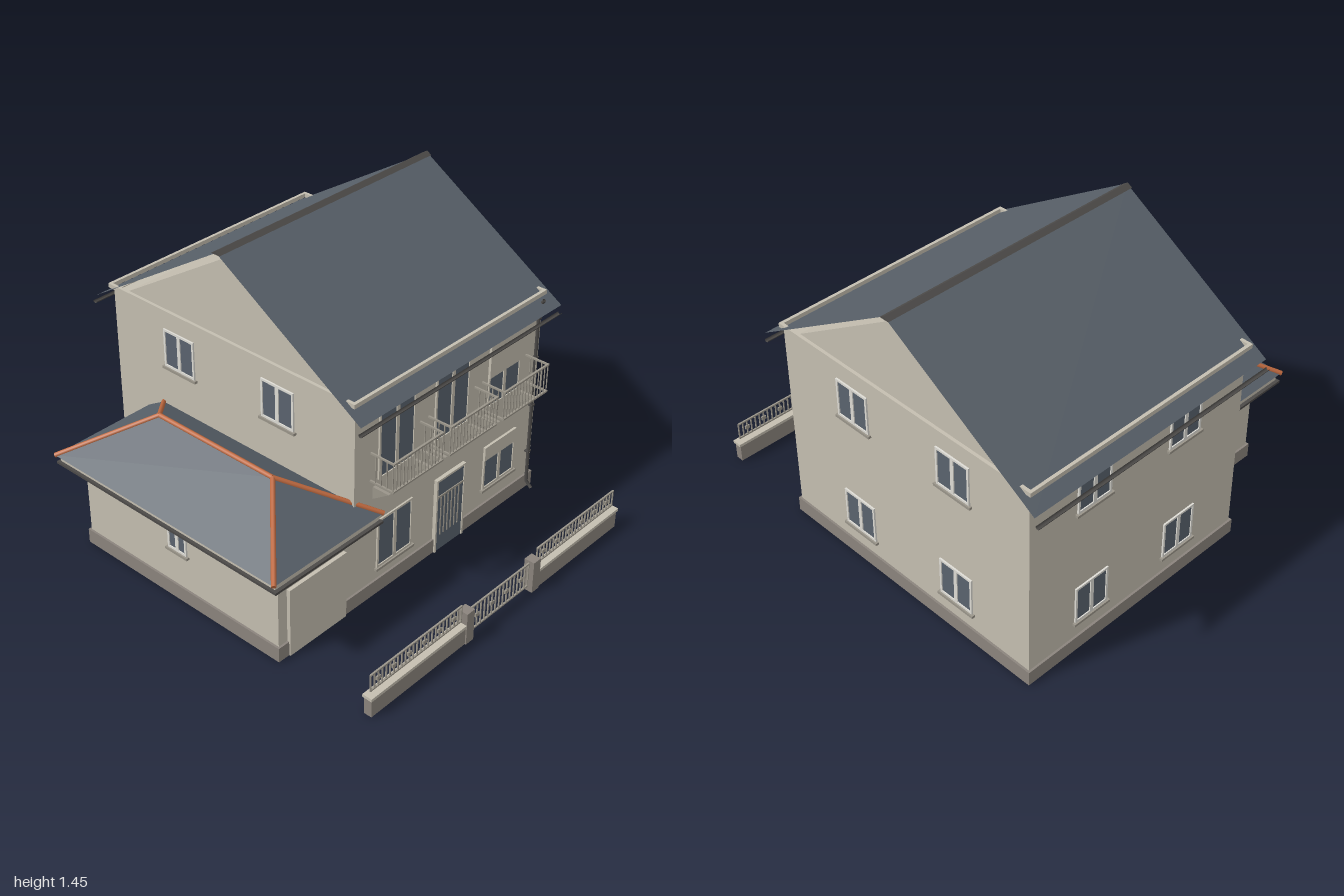
import * as THREE from 'three';

const mat = (name, color, side = THREE.FrontSide) => {
  const m = new THREE.MeshStandardMaterial({ color, side });
  m.name = name;
  return m;
};

export function createModel() {
  const root = new THREE.Group();
  root.name = 'house';
  const wall = mat('beige render', 0xc4beb0);
  const stone = mat('grey brown plinth', 0x8b847d);
  const slate = mat('slate roof', 0x586069, THREE.DoubleSide);
  const glass = mat('window glass', 0x5a636e);
  const white = mat('off white frame', 0xdedcd5);
  const tile = mat('terracotta ridge', 0xc06a40);
  const iron = mat('grey beige railing', 0x9a958a);
  const dark = mat('dark metal', 0x4c4a48, THREE.DoubleSide);

  const add = (parent, name, geo, material) => {
    const m = new THREE.Mesh(geo, material);
    m.name = name;
    parent.add(m);
    return m;
  };
  const group = (name, parent = root) => {
    const g = new THREE.Group();
    g.name = name;
    parent.add(g);
    return g;
  };
  // Box given by its limits
  const box = (p, name, x0, x1, y0, y1, z0, z1, m) => add(p, name,
    new THREE.BoxGeometry(x1 - x0, y1 - y0, z1 - z0)
      .translate((x0 + x1) / 2, (y0 + y1) / 2, (z0 + z1) / 2), m);
  const rect = (C, x0, x1, y0, y1) => {
    const s = new C();
    s.moveTo(x0, y0); s.lineTo(x1, y0); s.lineTo(x1, y1); s.lineTo(x0, y1); s.closePath();
    return s;
  };
  // Rectangular tube standing upright, open at top and bottom
  const ring = (p, name, x0, x1, z0, z1, t, y0, y1, m) => {
    const s = rect(THREE.Shape, x0, x1, -z1, -z0);
    s.holes.push(rect(THREE.Path, x0 + t, x1 - t, -z1 + t, -z0 - t));
    const g = new THREE.ExtrudeGeometry(s, { depth: y1 - y0, bevelEnabled: false });
    return add(p, name, g.rotateX(-Math.PI / 2).translate(0, y0, 0), m);
  };
  // Flat polygons, corners counter-clockwise from outside
  const surface = (p, name, polys, m) => {
    const v = [];
    for (const q of polys) for (let i = 1; i < q.length - 1; i++) v.push(...q[0], ...q[i], ...q[i + 1]);
    const g = new THREE.BufferGeometry();
    g.setAttribute('position', new THREE.Float32BufferAttribute(v, 3));
    g.computeVertexNormals();
    return add(p, name, g, m);
  };
  const rod = (p, name, a, b, r, m) => {
    const A = new THREE.Vector3(...a), B = new THREE.Vector3(...b);
    const o = add(p, name, new THREE.CylinderGeometry(r, r, A.distanceTo(B), 8), m);
    o.position.copy(A).add(B).multiplyScalar(0.5);
    o.quaternion.setFromUnitVectors(new THREE.Vector3(0, 1, 0), B.sub(A).normalize());
  };

  // Main walls, plinth, cornice
  ring(root, 'mainWalls', -0.365, 0.855, -0.905, 0.505, 0.02, 0, 1.0, wall);
  ring(root, 'mainPlinth', -0.375, 0.865, -0.915, 0.515, 0.03, 0, 0.07, stone);
  ring(root, 'cornice', -0.38, 0.87, -0.925, 0.515, 0.015, 1.003, 1.023, wall);

  // Gable block under the roof
  const tri = new THREE.Shape();
  tri.moveTo(-0.505, 0.99); tri.lineTo(-0.4, 1.02); tri.lineTo(0.2, 1.4);
  tri.lineTo(0.81, 1.02); tri.lineTo(0.905, 0.99);
  tri.closePath();
  const gable = new THREE.ExtrudeGeometry(tri, { depth: 1.22, bevelEnabled: false });
  add(root, 'gables', gable.rotateY(Math.PI / 2).translate(-0.365, 0, 0), wall);

  // Main roof, ridge cap and gutters
  const L = -0.41, R = 0.9;
  surface(root, 'mainRoof', [
    [[L, 0.957, 0.575], [R, 0.957, 0.575], [R, 1.44, -0.2], [L, 1.44, -0.2]],
    [[R, 0.957, -0.975], [L, 0.957, -0.975], [L, 1.44, -0.2], [R, 1.44, -0.2]],
  ], slate);
  const cap = new THREE.Shape();
  cap.moveTo(-0.024, 0); cap.lineTo(0.024, 0); cap.lineTo(0, 0.015); cap.closePath();
  add(root, 'ridgeCap', new THREE.ExtrudeGeometry(cap, { depth: 1.315, bevelEnabled: false })
    .rotateY(Math.PI / 2).translate(L, 1.431, -0.205), dark);
  for (const z of [0.572, -0.99]) {
    add(root, 'gutter', new THREE.CylinderGeometry(0.01, 0.01, R - L, 8, 1, true, 0, Math.PI)
      .rotateZ(-Math.PI / 2).translate((L + R) / 2, 0.921, z), dark);
  }

  // Side annex
  ring(root, 'annexWalls', -0.81, -0.355, -0.64, 0.505, 0.02, 0, 0.45, wall);
  box(root, 'annexPlinthLeft', -0.82, -0.8, 0, 0.07, -0.65, 0.515, stone);
  box(root, 'annexPlinthBack', -0.82, -0.365, 0, 0.07, -0.65, -0.62, stone);
  box(root, 'annexPlinthFront', -0.82, -0.365, 0, 0.07, 0.48, 0.515, stone);
  box(root, 'garageDoor', -0.76, -0.425, 0, 0.335, 0.5, 0.522, wall);
  box(root, 'garageThreshold', -0.76, -0.425, 0, 0.01, 0.41, 0.5, stone);
  box(root, 'annexEave', -0.885, -0.275, 0.44, 0.473, -0.71, 0.565, wall);
  ring(root, 'annexGutter', -0.897, -0.268, -0.725, 0.58, 0.02, 0.427, 0.438, dark);
  const [A, B, C, D] = [[-0.905, 0.474, 0.578], [-0.265, 0.474, 0.578], [-0.265, 0.474, -0.723], [-0.905, 0.474, -0.723]];
  const F = [-0.585, 0.668, 0.265], K = [-0.585, 0.668, -0.4];
  surface(root, 'annexRoof', [[A, B, F], [B, C, K, F], [C, D, K], [D, A, F, K]], slate);
  for (const [a, b] of [[A, F], [B, F], [C, K], [D, K], [F, K]]) rod(root, 'ridgeTiles', a, b, 0.011, tile);

  // Window facing +z about its bottom centre; shutter is the covered height at the top
  const makeWindow = (name, x, y, z, turn, w, h, frame, sill = true, shutter = 0) => {
    const g = group(name);
    g.position.set(x, y, z);
    g.rotation.y = turn;
    const e = 0.01, s = rect(THREE.Shape, -w / 2, w / 2, 0, h);
    s.holes.push(rect(THREE.Path, -w / 2 + e, -0.009, e, h - e), rect(THREE.Path, 0.009, w / 2 - e, e, h - e));
    add(g, 'frame', new THREE.ExtrudeGeometry(s, { depth: 0.034, bevelEnabled: false }).translate(0, 0, -0.026), frame);
    box(g, 'glass', -w / 2 + 0.005, w / 2 - 0.005, 0.005, h - 0.005, -0.023, 0.003, glass);
    if (shutter) box(g, 'shutter', -w / 2, w / 2, h - shutter, h, -0.02, 0.012, wall);
    if (sill) box(g, 'sill', -w / 2 - 0.01, w / 2 + 0.01, -0.012, 0, 0, 0.015, iron);
  };
  const Q = Math.PI / 2;
  for (const y of [0.153, 0.738]) {
    for (const z of [0.085, -0.498]) {
      makeWindow('rightWindow', 0.855, y, z, Q, 0.184, 0.185, white);
      makeWindow('leftWindow', -0.365, y, z, -Q, 0.184, 0.185, white);
    }
    for (const x of [0.51, -0.01]) makeWindow('backWindow', x, y, -0.905, Math.PI, 0.184, 0.185, white);
  }
  makeWindow('annexWindow', -0.81, 0.25, -0.07, -Q, 0.11, 0.12, white);
  makeWindow('balconyWindow', -0.11, 0.585, 0.505, 0, 0.225, 0.345, wall, false);
  makeWindow('balconyWindow', 0.245, 0.585, 0.505, 0, 0.225, 0.345, wall, false);
  makeWindow('shutteredWindow', 0.605, 0.585, 0.505, 0, 0.225, 0.345, wall, false, 0.19);
  makeWindow('frontWindow', -0.11, 0.13, 0.505, 0, 0.225, 0.247, wall);
  makeWindow('shutteredWindow', 0.605, 0.153, 0.505, 0, 0.225, 0.227, wall, true, 0.07);

  // Front door with transom and bars
  const door = group('frontDoor');
  box(door, 'doorLeaf', 0.16, 0.34, 0, 0.375, 0.478, 0.518, glass);
  for (const x of [0.152, 0.338]) box(door, 'jamb', x, x + 0.01, 0, 0.383, 0.475, 0.523, wall);
  box(door, 'lintel', 0.152, 0.348, 0.373, 0.383, 0.475, 0.523, wall);
  box(door, 'transomRail', 0.162, 0.338, 0.285, 0.295, 0.51, 0.522, iron);
  for (let i = 0; i < 6; i++) box(door, 'doorBar', 0.185 + i * 0.024, 0.191 + i * 0.024, 0.08, 0.285, 0.515, 0.521, iron);

  // Balconies: open railings on wedge brackets
  const wedge = new THREE.Shape();
  wedge.moveTo(0, 0); wedge.lineTo(0, 0.06); wedge.lineTo(-0.085, 0.06); wedge.closePath();
  for (const c of [-0.113, 0.248, 0.608]) {
    const b = group('balcony');
    const x0 = c - 0.158, x1 = c + 0.158;
    for (const y of [0.597, 0.733]) {
      box(b, 'frontRail', x0, x1, y, y + 0.008, 0.62, 0.63, iron);
      for (const x of [x0, x1 - 0.008]) box(b, 'sideRail', x, x + 0.008, y, y + 0.008, 0.505, 0.63, iron);
    }
    for (let i = 0; i <= 14; i++) {
      const x = x0 + 0.003 + i * 0.0221;
      box(b, 'baluster', x - 0.002, x + 0.002, 0.6, 0.735, 0.623, 0.627, iron);
    }
    for (const z of [0.53, 0.56, 0.59]) for (const x of [x0 + 0.002, x1 - 0.006]) {
      box(b, 'sideBaluster', x, x + 0.004, 0.6, 0.735, z, z + 0.004, iron);
    }
    for (const s of [-1, 1]) {
      add(b, 'bracket', new THREE.ExtrudeGeometry(wedge, { depth: 0.015, bevelEnabled: false })
        .rotateY(Q).translate(c + s * 0.131 - 0.0075, 0.502, 0.505), iron);
    }
  }

  // Downpipe
  const pipe = new THREE.CatmullRomCurve3([[1.0, 0.54], [0.975, 0.525], [0.95, 0.517], [0.5, 0.517], [0.04, 0.52], [0.01, 0.55]]
    .map(([y, z]) => new THREE.Vector3(0.82, y, z)), false, 'catmullrom', 0.1);
  add(root, 'downpipe', new THREE.TubeGeometry(pipe, 24, 0.008, 8), dark);
  for (const y of [0.2, 0.45, 0.7, 0.9]) box(root, 'pipeClip', 0.808, 0.832, y, y + 0.008, 0.505, 0.527, dark);

  // Garden fence
  const fence = group('fence');
  const railing = (x0, x1, y0, y1, n) => {
    for (const y of [y0, y1 - 0.007]) box(fence, 'fenceRail', x0, x1, y, y + 0.007, 0.97, 0.978, iron);
    const step = (x1 - x0) / n, mid = (y0 + y1) / 2;
    for (let i = 0; i <= n; i++) {
      const x = x0 + i * step;
      box(fence, 'fenceBar', x - 0.0025, x + 0.0025, y0, y1, 0.971, 0.977, iron);
      if (i % 4 === 2) box(fence, 'fenceOrnament', x - 0.011, x + 0.011, mid - 0.009, mid + 0.009, 0.97, 0.978, iron);
    }
  };
  for (const [x0, x1] of [[-0.81, -0.215], [0.255, 0.855]]) {
    box(fence, 'fenceWall', x0 + 0.006, x1 - 0.006, 0, 0.085, 0.956, 0.994, stone);
    box(fence, 'fenceCap', x0, x1, 0.085, 0.099, 0.951, 0.999, wall);
    railing(x0 + 0.02, x1 - 0.02, 0.113, 0.197, 24);
  }
  for (const x of [-0.203, 0.245]) box(fence, 'gatePost', x - 0.024, x + 0.024, 0, 0.158, 0.95, 1.0, stone);
  railing(-0.178, 0.22, 0.022, 0.148, 16);

  return root;
}
